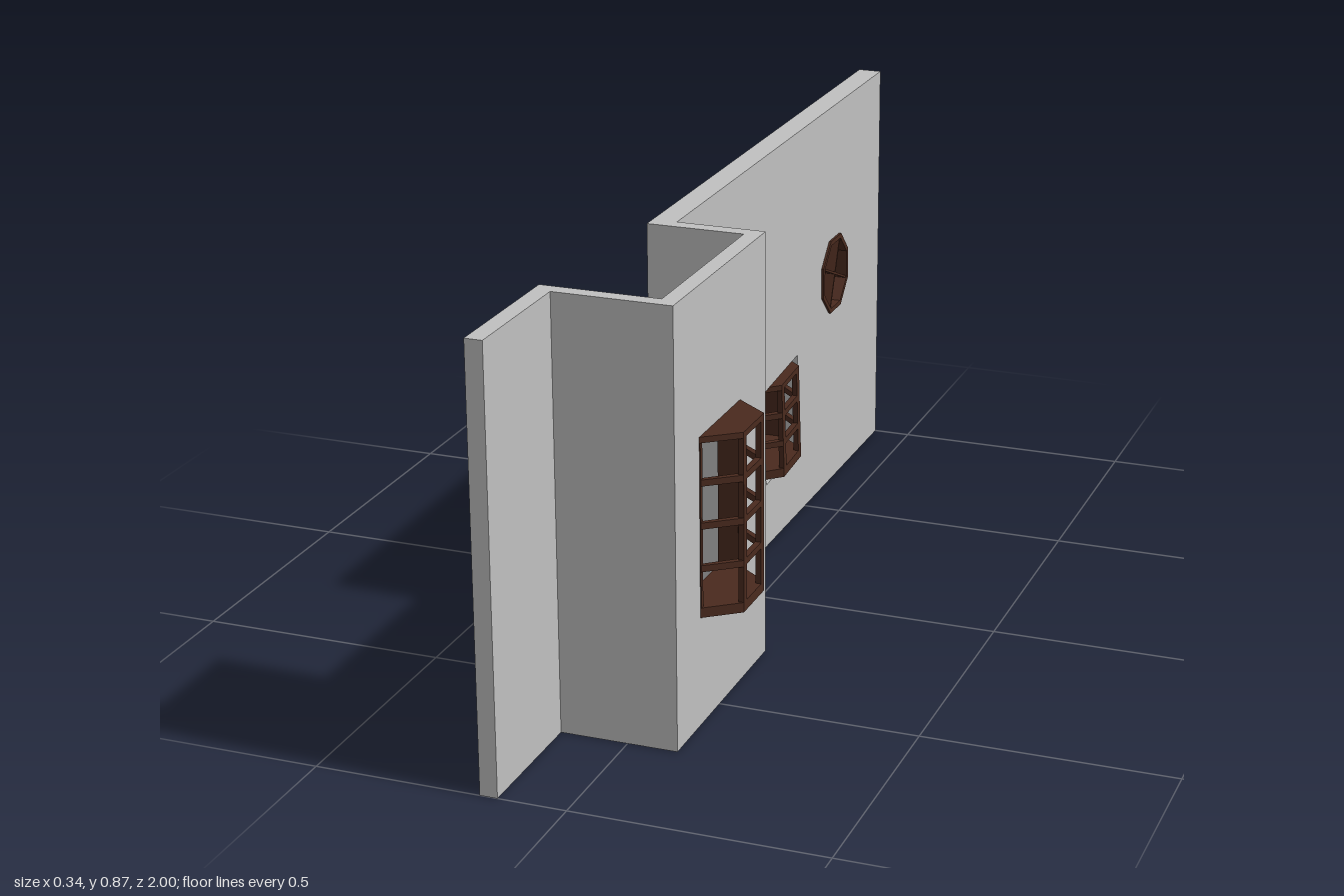
import * as THREE from 'three';

const wallMat = new THREE.MeshStandardMaterial({ color: 0xc0c0c0 });
wallMat.name = 'plasterGrey';
const woodMat = new THREE.MeshStandardMaterial({ color: 0x4a2a1e });
woodMat.name = 'darkWood';

const H = 0.87;

function mesh(name, geo, mat) {
  const m = new THREE.Mesh(geo, mat);
  m.name = name;
  return m;
}

function box(name, mat, x0, x1, y0, y1, z0, z1) {
  const g = new THREE.BoxGeometry(x1 - x0, y1 - y0, z1 - z0);
  g.translate((x0 + x1) / 2, (y0 + y1) / 2, (z0 + z1) / 2);
  return mesh(name, g, mat);
}

const toPoints = (list) => list.map(([a, b]) => new THREE.Vector2(a, b));

function octagon(r) {
  return Array.from({ length: 8 }, (_, i) => [r * Math.cos(i * Math.PI / 4), r * Math.sin(i * Math.PI / 4)]);
}

function rectangle(w, h) {
  return [[-w / 2, -h / 2], [w / 2, -h / 2], [w / 2, h / 2], [-w / 2, h / 2]];
}

// Moves a window outline to its place on the wall (u runs along -z)
function place(points, win) {
  const c = Math.cos(win.tilt), s = Math.sin(win.tilt);
  return points.map(([a, b]) => [a * c - b * s - win.z, a * s + b * c + win.y]);
}

// Upright wall panel facing +x, pierced by window openings
function wallPanel(name, x0, x1, z0, z1, holes) {
  const shape = new THREE.Shape(toPoints([[-z1, 0], [-z0, 0], [-z0, H], [-z1, H]]));
  holes.forEach((h) => shape.holes.push(new THREE.Path(toPoints(h))));
  const g = new THREE.ExtrudeGeometry(shape, { depth: x1 - x0, bevelEnabled: false });
  g.rotateY(Math.PI / 2).translate(x0, 0, 0);
  return mesh(name, g, wallMat);
}

// Plan outline (u, depth) extruded between two heights
function slab(name, plan, y0, y1) {
  const g = new THREE.ExtrudeGeometry(new THREE.Shape(toPoints(plan)), { depth: y1 - y0, bevelEnabled: false });
  g.rotateX(Math.PI / 2).translate(0, y1, 0);
  return mesh(name, g, woodMat);
}

// Deep eight-sided window with crossed glazing bars
function octagonWindow() {
  const g = new THREE.Group();
  const R = 0.09, depth = 0.07;
  const ring = new THREE.Shape(toPoints(octagon(R)));
  ring.holes.push(new THREE.Path(toPoints(octagon(R - 0.011))));
  const ringGeo = new THREE.ExtrudeGeometry(ring, { depth, bevelEnabled: false });
  g.add(mesh('octagonFrame', ringGeo.translate(0, 0, -depth / 2), woodMat));
  const r = R - 0.008, t = 0.0025, d = depth / 2 - 0.002;
  g.add(box('crossBar', woodMat, -r, r, -t, t, -d, d));
  g.add(box('crossBar', woodMat, -t, t, -r, r, -d, d));
  return g;
}

// Projecting bay window: box frame behind, slanted sides and flat front
function bayWindow(height, rows) {
  const g = new THREE.Group();
  const hw = 0.106, fw = 0.054, back = 0.042, out = 0.067, t = 0.012;
  const y0 = -height / 2, y1 = height / 2, sill = 0.02, head = 0.012;
  const plan = [[-hw, -back], [hw, -back], [hw, 0], [fw, out], [-fw, out], [-hw, 0]];
  g.add(slab('baySill', plan, y0, y0 + sill));
  g.add(slab('bayHead', plan, y1 - head, y1));
  // horizontal glazing bars follow the bay outline
  const strip = [[hw, 0], [fw, out], [-fw, out], [-hw, 0], [-hw + t, 0], [-fw + t / 2, out - t], [fw - t / 2, out - t], [hw - t, 0]];
  const pitch = (height - sill - head + 0.013) / rows;
  for (let i = 1; i < rows; i++) {
    const y = y0 + sill + i * pitch;
    g.add(slab('horizontalBar', strip, y - 0.013, y));
  }
  // side boards and corner posts
  for (const s of [-1, 1]) {
    const a = s * hw, b = s * (hw - 0.01);
    g.add(box('sideBoard', woodMat, Math.min(a, b), Math.max(a, b), y0 + sill, y1 - head, -back, 0.002));
    const c = s * fw, e = s * (fw - 0.016);
    g.add(box('cornerPost', woodMat, Math.min(c, e), Math.max(c, e), y0 + sill, y1 - head, out - 0.011, out));
  }
  return g;
}

export function createModel() {
  const model = new THREE.Group();
  model.name = 'wallWithWindows';

  const rad = Math.PI / 180;
  const windows = {
    lowOctagon: { x: -0.11, y: 0.346, z: 0.042, tilt: -49 * rad, build: octagonWindow },
    highOctagon: { x: -0.11, y: 0.486, z: -0.685, tilt: -22.5 * rad, build: octagonWindow },
    smallBay: { x: -0.125, y: 0.257, z: -0.348, tilt: 4.5 * rad, build: () => bayWindow(0.215, 3) },
    tallBay: { x: 0.1, y: 0.4, z: 0.49, tilt: 0, build: () => bayWindow(0.36, 4) },
  };

  // Stepped wall
  model.add(wallPanel('longWall', -0.13, -0.08, -1, 0.275, [
    place(octagon(0.088), windows.lowOctagon),
    place(octagon(0.088), windows.highOctagon),
    place(rectangle(0.211, 0.214), windows.smallBay),
  ]));
  model.add(box('innerReturn', wallMat, -0.08, 0.1, 0, H, 0.245, 0.275));
  model.add(wallPanel('projectingWall', 0.067, 0.1, 0.275, 0.687, [
    place(rectangle(0.206, 0.355), windows.tallBay),
  ]));
  model.add(box('outerReturn', wallMat, -0.17, 0.1, 0, H, 0.687, 0.717));
  model.add(box('endWall', wallMat, -0.17, -0.135, 0, H, 0.717, 1));

  // Windows, each turned to face +x
  for (const [name, w] of Object.entries(windows)) {
    const inner = w.build();
    inner.rotation.z = w.tilt;
    const holder = new THREE.Group();
    holder.name = name + 'Window';
    holder.add(inner);
    holder.rotation.y = Math.PI / 2;
    holder.position.set(w.x, w.y, w.z);
    model.add(holder);
  }
  return model;
}
